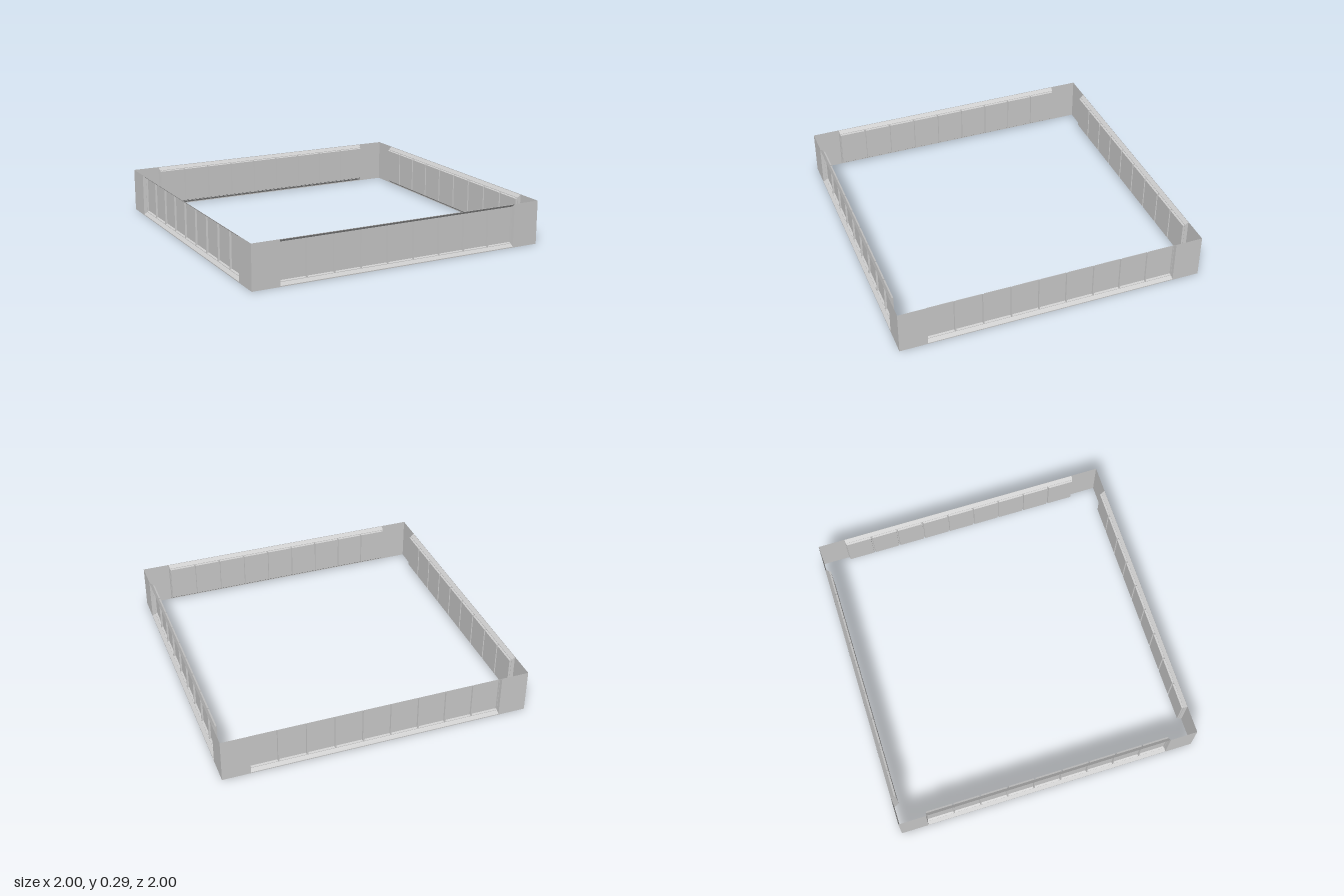
import * as THREE from 'three';

const material = new THREE.MeshStandardMaterial({
  color: 0xcccccc, flatShading: true, side: THREE.DoubleSide,
});

// Rectangle corners, anticlockwise seen from outside
const rect = (x0, y0, x1, y1) => [[x0, y0], [x1, y0], [x1, y1], [x0, y1]];
const toPoints = (r) => r.map(([x, y]) => new THREE.Vector2(x, y));

// Flat sheet at depth z with rectangular openings
function sheet(name, outline, holes, z) {
  const shape = new THREE.Shape(toPoints(outline));
  holes.forEach((h) => shape.holes.push(new THREE.Path(toPoints(h))));
  const mesh = new THREE.Mesh(new THREE.ShapeGeometry(shape), material);
  mesh.position.z = z;
  mesh.name = name;
  return mesh;
}

// Four sloping faces joining an outer rectangle to an inner one
function bevel(name, outer, zOuter, inner, zInner) {
  const positions = [];
  for (let i = 0; i < 4; i++) {
    const j = (i + 1) % 4;
    const a = [...outer[i], zOuter], b = [...outer[j], zOuter];
    const c = [...inner[j], zInner], d = [...inner[i], zInner];
    positions.push(...a, ...b, ...c, ...a, ...c, ...d);
  }
  const geometry = new THREE.BufferGeometry();
  geometry.setAttribute('position', new THREE.Float32BufferAttribute(positions, 3));
  geometry.computeVertexNormals();
  const mesh = new THREE.Mesh(geometry, material);
  mesh.name = name;
  return mesh;
}

// One side of the square: wall, sloped recess and a row of sunken panels
function createSide() {
  const side = new THREE.Group();
  const wallZ = 1, frameZ = 0.979, panelZ = 0.967;
  const opening = rect(-0.82, 0.006, 0.82, 0.284);
  const frame = rect(-0.817, 0.022, 0.817, 0.266);

  side.add(sheet('wall', rect(-1, 0, 1, 0.287), [opening], wallZ));
  side.add(bevel('recessSlope', opening, wallZ, frame, frameZ));

  const count = 9, pitch = 0.182, mouths = [];
  for (let i = 0; i < count; i++) {
    const x = (i - (count - 1) / 2) * pitch;
    const mouth = rect(x - 0.087, 0.025, x + 0.087, 0.263);
    const floor = rect(x - 0.085, 0.03, x + 0.085, 0.259);
    mouths.push(mouth);
    side.add(bevel('panelEdge', mouth, frameZ, floor, panelZ));
    side.add(sheet('panel', floor, [], panelZ));
  }
  side.add(sheet('panelFrame', frame, mouths, frameZ));
  return side;
}

export function createModel() {
  const model = new THREE.Group();
  model.name = 'panelledSquareWall';
  ['frontSide', 'leftSide', 'backSide', 'rightSide'].forEach((name, i) => {
    const side = createSide();
    side.name = name;
    side.rotation.y = i * Math.PI / 2;
    model.add(side);
  });
  return model;
}
